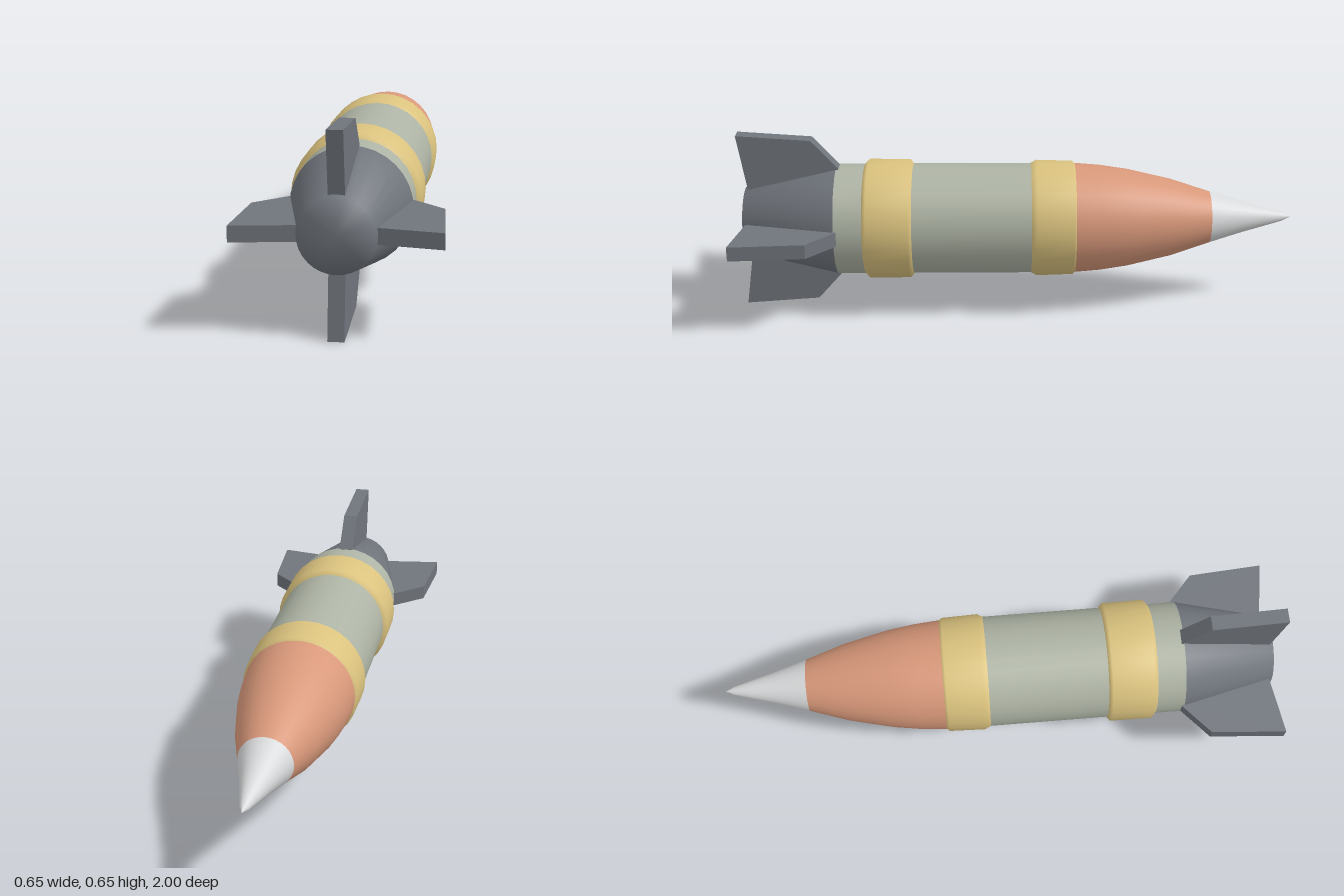
import * as THREE from 'three';

const material = (name, color, side = THREE.FrontSide) => {
  const m = new THREE.MeshStandardMaterial({ color, side });
  m.name = name;
  return m;
};

export function createModel() {
  const tailGrey = material('tail grey', 0x70757c);
  const bodyGreen = material('body grey green', 0xadb3a4);
  const bandGold = material('band gold', 0xdac27e);
  const noseOrange = material('nose orange', 0xd8987a);
  const tipWhite = material('tip white', 0xd9dadb);

  const model = new THREE.Group();
  model.name = 'rocket';
  const rocket = new THREE.Group();
  rocket.name = 'rocketBody';
  rocket.position.y = 0.326; // lowest fin rests on the ground
  model.add(rocket);

  // Round part along z from [radius, z] points, front-to-back
  const turned = (name, points, mat) => {
    const geo = new THREE.LatheGeometry(points.map(([r, z]) => new THREE.Vector2(r, z)), 32);
    geo.rotateX(Math.PI / 2);
    const mesh = new THREE.Mesh(geo, mat);
    mesh.name = name;
    rocket.add(mesh);
  };

  turned('noseTip', [[0, -1], [0.015, -0.97], [0.035, -0.9], [0.057, -0.82], [0.094, -0.7]], tipWhite);
  turned('noseCone', [[0.094, -0.7], [0.14, -0.56], [0.177, -0.4], [0.192, -0.3], [0.2, -0.2]], noseOrange);
  turned('frontBand', [[0.198, -0.21], [0.207, -0.2], [0.211, -0.07], [0.2, -0.05]], bandGold);
  turned('midBody', [[0.2, -0.2], [0.2, 0.65]], bodyGreen);
  turned('rearBand', [[0.2, 0.375], [0.216, 0.388], [0.217, 0.535], [0.2, 0.55]], bandGold);
  turned('tailCone', [[0.2, 0.65], [0.122, 0.98], [0, 0.98]], tailGrey);

  // Four swept tail fins
  const thickness = 0.052;
  const finShape = new THREE.Shape(
    [[0.2, 0.64], [0.307, 0.735], [0.326, 1], [0.12, 0.968], [0.17, 0.67]]
      .map(([r, z]) => new THREE.Vector2(r, z)));
  const finGeo = new THREE.ExtrudeGeometry(finShape, { depth: thickness, bevelEnabled: false });
  finGeo.translate(0, 0, -thickness / 2);
  finGeo.rotateX(Math.PI / 2);
  ['leftFin', 'topFin', 'rightFin', 'bottomFin'].forEach((name, i) => {
    const fin = new THREE.Mesh(finGeo, tailGrey);
    fin.name = name;
    fin.rotation.z = i * Math.PI / 2;
    rocket.add(fin);
  });

  return model;
}
